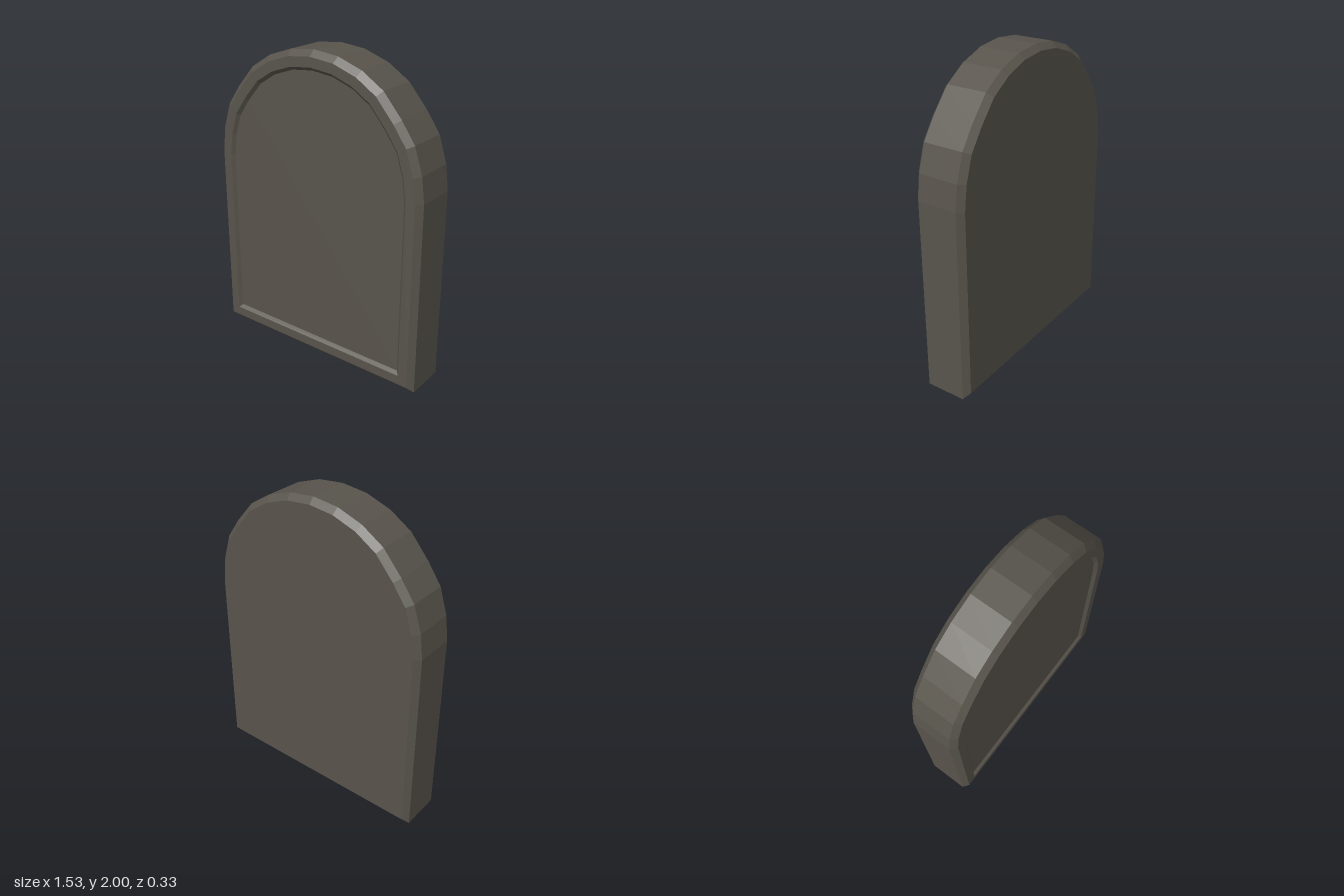
import * as THREE from 'three';

// Right half of the arched outline, bottom to just before the crown
const HALF = [[0.763, 0], [0.763, 1.245], [0.742, 1.404], [0.689, 1.569],
  [0.599, 1.696], [0.477, 1.836], [0.334, 1.926], [0.17, 1.982]];

// Full outline, counter-clockwise seen from the front
const OUTLINE = [...HALF, [0, 2], ...HALF.map(([x, y]) => [-x, y]).reverse()]
  .map(([x, y]) => new THREE.Vector2(x, y));

// Outline moved inward by d with mitred corners, placed at depth z
function ring(d, z) {
  const n = OUTLINE.length;
  const inward = (a, b) => new THREE.Vector2(a.y - b.y, b.x - a.x).normalize();
  return OUTLINE.map((p, i) => {
    const n1 = inward(OUTLINE[(i + n - 1) % n], p);
    const n2 = inward(p, OUTLINE[(i + 1) % n]);
    const m = n1.clone().add(n2).multiplyScalar(d / (1 + n1.dot(n2)));
    return new THREE.Vector3(p.x + m.x, p.y + m.y, z);
  });
}

// Flat-shaded mesh from a list of corner points
function facetMesh(name, points, material) {
  const geometry = new THREE.BufferGeometry().setFromPoints(points);
  geometry.computeVertexNormals();
  const mesh = new THREE.Mesh(geometry, material);
  mesh.name = name;
  return mesh;
}

// Band of quads joining each ring to the next
function band(name, rings, material) {
  const points = [];
  for (let r = 0; r < rings.length - 1; r++) {
    const a = rings[r], b = rings[r + 1];
    a.forEach((p, i) => {
      const j = (i + 1) % a.length;
      points.push(p, a[j], b[j], p, b[j], b[i]);
    });
  }
  return facetMesh(name, points, material);
}

// Flat face filling a convex ring
function cap(name, r, material, facingBack = false) {
  const points = [];
  for (let i = 1; i < r.length - 1; i++) {
    points.push(r[0], ...(facingBack ? [r[i + 1], r[i]] : [r[i], r[i + 1]]));
  }
  return facetMesh(name, points, material);
}

export function createModel() {
  const stone = new THREE.MeshStandardMaterial({ color: 0x58544c, flatShading: true });
  stone.name = 'dark stone';

  const back = ring(0.037, -0.165);
  const sideBack = ring(0, -0.13);
  const sideFront = ring(0, 0.13);
  const front = ring(0.037, 0.165);
  const recessEdge = ring(0.098, 0.165);
  const recessFloor = ring(0.118, 0.145);

  const group = new THREE.Group();
  group.name = 'archedStoneSlab';
  group.add(
    cap('backFace', back, stone, true),
    band('chamferedSides', [back, sideBack, sideFront, front], stone),
    band('frontRim', [front, recessEdge], stone),
    band('recessSlope', [recessEdge, recessFloor], stone),
    cap('recessedPanel', recessFloor, stone),
  );
  return group;
}
